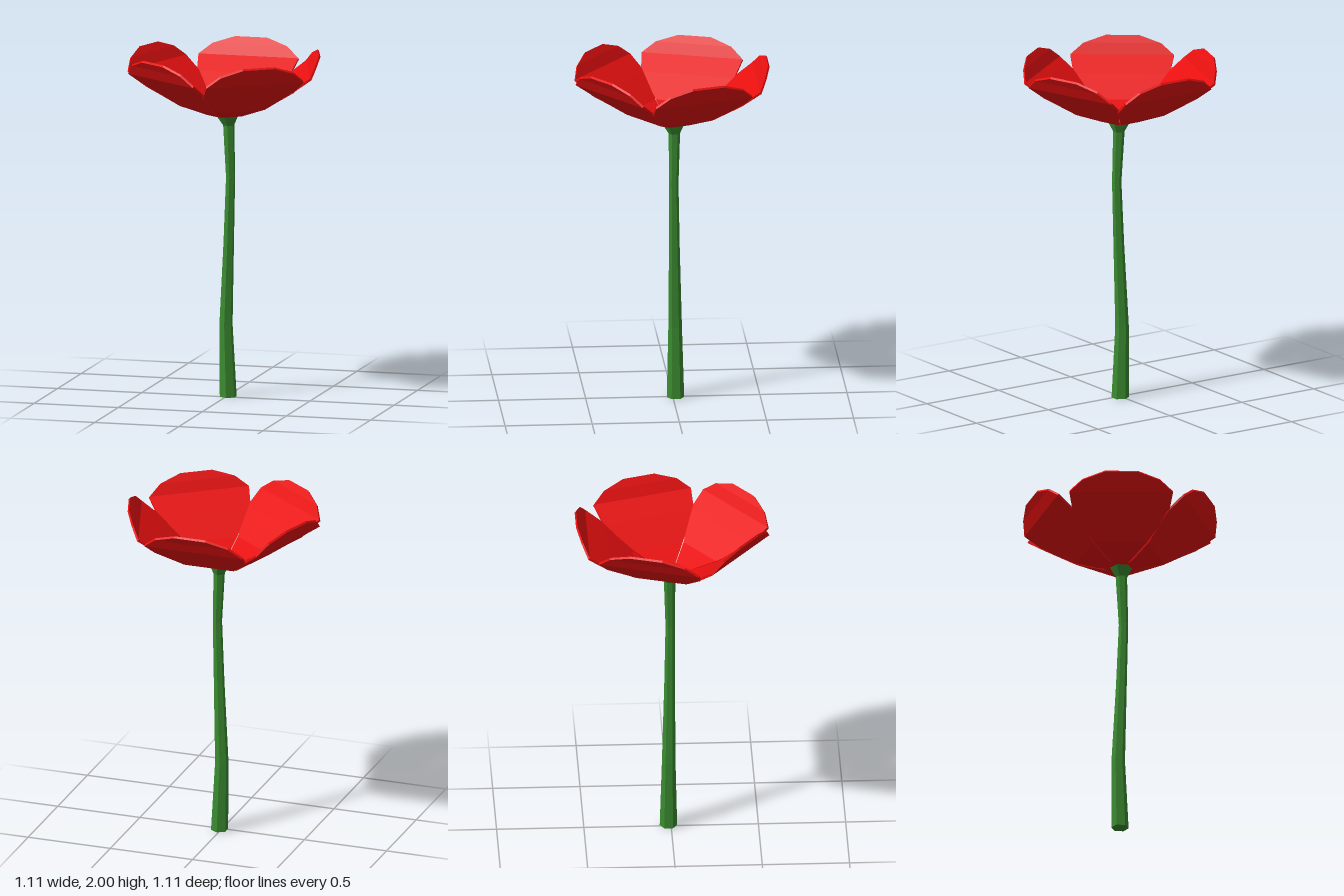
import * as THREE from 'three';

const red = new THREE.MeshStandardMaterial({ color: 0xe81010, flatShading: true });
const green = new THREE.MeshStandardMaterial({ color: 0x3a8a30, flatShading: true });

// Petal cross-sections from base to tip: radius, height, half width
const petalRows = [
  [0, 1.638, 0.015], [0.085, 1.652, 0.06], [0.21, 1.705, 0.15], [0.36, 1.82, 0.275],
  [0.47, 1.9, 0.297], [0.503, 1.96, 0.222], [0.53, 2, 0.095],
];

// Thin closed shell pointing along +z, flat across each band
function petalGeometry() {
  const pos = [];
  const quad = (a, b, c, d) => pos.push(...a, ...b, ...c, ...a, ...c, ...d);
  const rows = petalRows.map(([r, y, w]) => ({
    L: [-w, y, r], R: [w, y, r],
    l: [-w, y - 0.01, r + 0.008], r: [w, y - 0.01, r + 0.008],
  }));
  for (let i = 0; i < rows.length - 1; i++) {
    const a = rows[i], b = rows[i + 1];
    quad(a.L, b.L, b.R, a.R); // inside
    quad(a.l, a.r, b.r, b.l); // outside
    quad(a.l, b.l, b.L, a.L); // left rim
    quad(a.R, b.R, b.r, a.r); // right rim
  }
  const tip = rows[rows.length - 1];
  quad(tip.L, tip.l, tip.r, tip.R);
  const geo = new THREE.BufferGeometry();
  geo.setAttribute('position', new THREE.Float32BufferAttribute(pos, 3));
  geo.computeVertexNormals();
  return geo;
}

// Hexagonal tube through rings of: x, y, z, radius
function ringTube(rings) {
  const n = rings.length - 1;
  const geo = new THREE.CylinderGeometry(1, 1, 1, 6, n);
  const p = geo.attributes.position;
  for (let i = 0; i < p.count; i++) {
    const [x, y, z, r] = rings[Math.round((p.getY(i) + 0.5) * n)];
    p.setXYZ(i, x + p.getX(i) * r, y, z + p.getZ(i) * r);
  }
  geo.computeVertexNormals();
  return geo;
}

function add(group, name, geometry, material) {
  const mesh = new THREE.Mesh(geometry, material);
  mesh.name = name;
  group.add(mesh);
  return mesh;
}

export function createModel() {
  const model = new THREE.Group();
  model.name = 'flower';

  // Gently bent stem
  add(model, 'stem', ringTube([
    [0.01, 0, -0.015, 0.05], [-0.003, 0.42, -0.014, 0.039], [0.015, 0.9, -0.008, 0.031],
    [0.027, 1.28, -0.004, 0.027], [0.015, 1.58, -0.008, 0.033],
  ]), green);

  // Flared cup under the petals
  add(model, 'calyx', ringTube([
    [0.015, 1.58, -0.008, 0.033], [0.008, 1.643, -0.003, 0.068],
  ]), green);

  // Five petals, the first one at the back and opened slightly wider
  const geo = petalGeometry();
  const petals = new THREE.Group();
  petals.name = 'petals';
  for (let i = 0; i < 5; i++) {
    const petal = add(petals, `petal${i + 1}`, geo, red);
    petal.rotation.y = Math.PI + (i * Math.PI * 2) / 5;
    if (i === 0) petal.scale.z = 1.02;
  }
  model.add(petals);
  return model;
}
